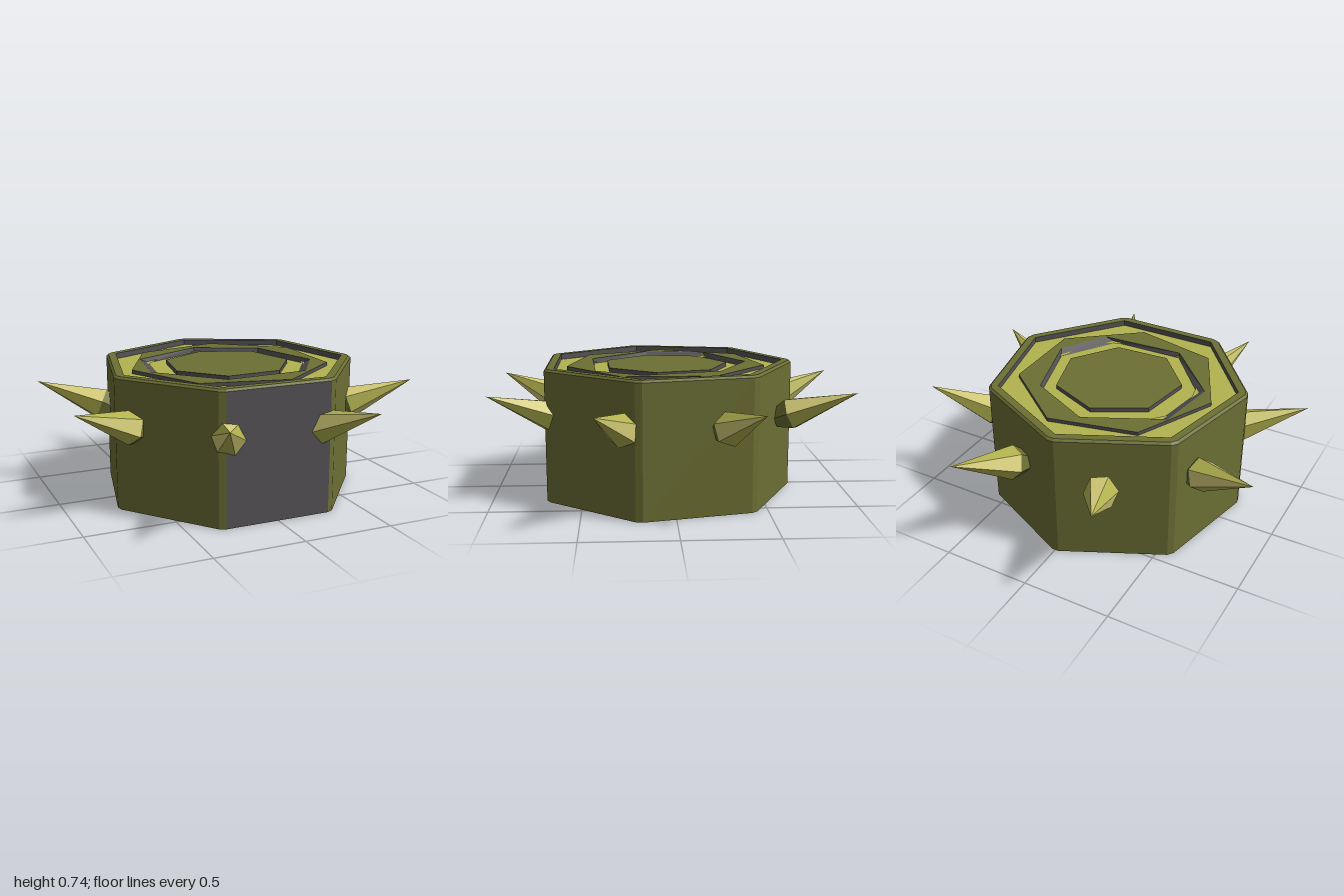
import * as THREE from 'three';

const mat = (name, color) => {
  const m = new THREE.MeshStandardMaterial({ color, flatShading: true });
  m.name = name;
  return m;
};

// Heptagon as [x, z] points, clockwise from the back; bevel gives two points per corner
function heptagon(r, cz, startDeg = 0) {
  return Array.from({ length: 7 }, (_, i) => {
    const a = THREE.MathUtils.degToRad(startDeg) + (i * 2 * Math.PI) / 7;
    return [r * Math.sin(a), cz - r * Math.cos(a)];
  });
}
function bevelled(r, cz, d) {
  const p = heptagon(r, cz);
  const side = 2 * r * Math.sin(Math.PI / 7);
  const toward = (a, b) => [a[0] + ((b[0] - a[0]) * d) / side, a[1] + ((b[1] - a[1]) * d) / side];
  return p.flatMap((v, i) => [toward(v, p[(i + 6) % 7]), toward(v, p[(i + 1) % 7])]);
}
const collapse = (loop, cz) => loop.map(() => [0, cz]);

// Strip of quads from loop a at height ya to loop b at height yb
function band(a, ya, b, yb) {
  const pos = [];
  const n = a.length;
  for (let i = 0; i < n; i++) {
    const j = (i + 1) % n;
    const a0 = [a[i][0], ya, a[i][1]], a1 = [a[j][0], ya, a[j][1]];
    const b0 = [b[i][0], yb, b[i][1]], b1 = [b[j][0], yb, b[j][1]];
    pos.push(...a1, ...a0, ...b0, ...a1, ...b0, ...b1);
  }
  const g = new THREE.BufferGeometry();
  g.setAttribute('position', new THREE.Float32BufferAttribute(pos, 3));
  g.computeVertexNormals();
  return g;
}

export function createModel() {
  const group = new THREE.Group();
  group.name = 'spikedDrum';
  const olive = mat('dark olive', 0x6c6f34);
  const light = mat('light olive', 0xb2b24f);
  const gray = mat('charcoal gray', 0x545254);
  const tan = mat('pale tan', 0xd6cd78);

  const add = (name, geo, material, parent = group) => {
    const m = new THREE.Mesh(geo, material);
    m.name = name;
    parent.add(m);
    return m;
  };

  // Drum: bevelled heptagon with one gray panel at the front
  const cz = 0.032;
  const outer = bevelled(0.741, cz, 0.0216);
  const rimEdge = bevelled(0.727, cz, 0.0216);
  const rimInner = heptagon(0.68, cz);
  add('drumBase', band(collapse(outer, cz), 0, outer, 0), olive);
  const sides = band(outer, 0, outer, 0.728);
  sides.addGroup(0, 42, 0);
  sides.addGroup(42, 6, 1);
  sides.addGroup(48, 36, 0);
  add('drumSides', sides, [olive, gray]);
  add('rimChamfer', band(outer, 0.728, rimEdge, 0.74), olive);
  add('rimTop', band(rimEdge, 0.74, bevelled(0.68, cz, 0), 0.74), olive);

  // Recessed top with a raised, twisted ring and a raised centre
  const outerY = 0.708, ringY = 0.728, innerY = 0.7, centreY = 0.724;
  const ring = heptagon(0.57, 0.03, -38.57);
  const hole = [[-0.02, -0.435], [0.34, -0.26], [0.465, 0.165], [0.3, 0.42], [-0.18, 0.45], [-0.49, 0.12], [-0.435, -0.23]];
  const holeFoot = [[-0.02, -0.425], [0.33, -0.255], [0.44, 0.12], [0.235, 0.43], [-0.18, 0.44], [-0.44, 0.13], [-0.38, -0.24]];
  const centre = heptagon(0.36, 0.031, -3.3);
  add('rimInnerWall', band(rimInner, 0.74, rimInner, outerY), gray);
  add('outerFloor', band(rimInner, outerY, ring, outerY), light);
  add('ringOuterWall', band(ring, outerY, ring, ringY), gray);
  add('ringTop', band(ring, ringY, hole, ringY), olive);
  add('ringInnerWall', band(hole, ringY, holeFoot, innerY), gray);
  add('innerFloor', band(holeFoot, innerY, centre, innerY), light);
  add('centreWall', band(centre, innerY, centre, centreY), gray);
  add('centreTop', band(centre, centreY, collapse(centre, 0.031), centreY), olive);

  // Eight upward-tilted spikes: long two-tone cone on a short flared collar
  const coneLen = 0.39, collarLen = 0.09, r = 0.094;
  const cone = new THREE.ConeGeometry(r, coneLen, 6, 1, true).translate(0, coneLen / 2, 0);
  cone.clearGroups();
  for (let i = 0; i < 6; i++) cone.addGroup(i * 3, 3, i % 2);
  const collar = new THREE.CylinderGeometry(r, 0.058, collarLen, 6, 1, true).translate(0, -collarLen / 2, 0);
  for (let k = 0; k < 8; k++) {
    const a = Math.PI / 8 + (k * Math.PI) / 4;
    const at = (rad, y) => new THREE.Vector3(Math.cos(a) * rad, y, Math.sin(a) * rad);
    const base = at(0.715, 0.475);
    const dir = at(1.082, 0.612).sub(base).normalize();
    const spike = new THREE.Group();
    spike.name = 'spike' + (k + 1);
    spike.position.copy(base);
    spike.quaternion.setFromUnitVectors(new THREE.Vector3(0, 1, 0), dir);
    add('spikePoint', cone, [tan, light], spike);
    add('spikeCollar', collar, olive, spike);
    group.add(spike);
  }
  return group;
}
